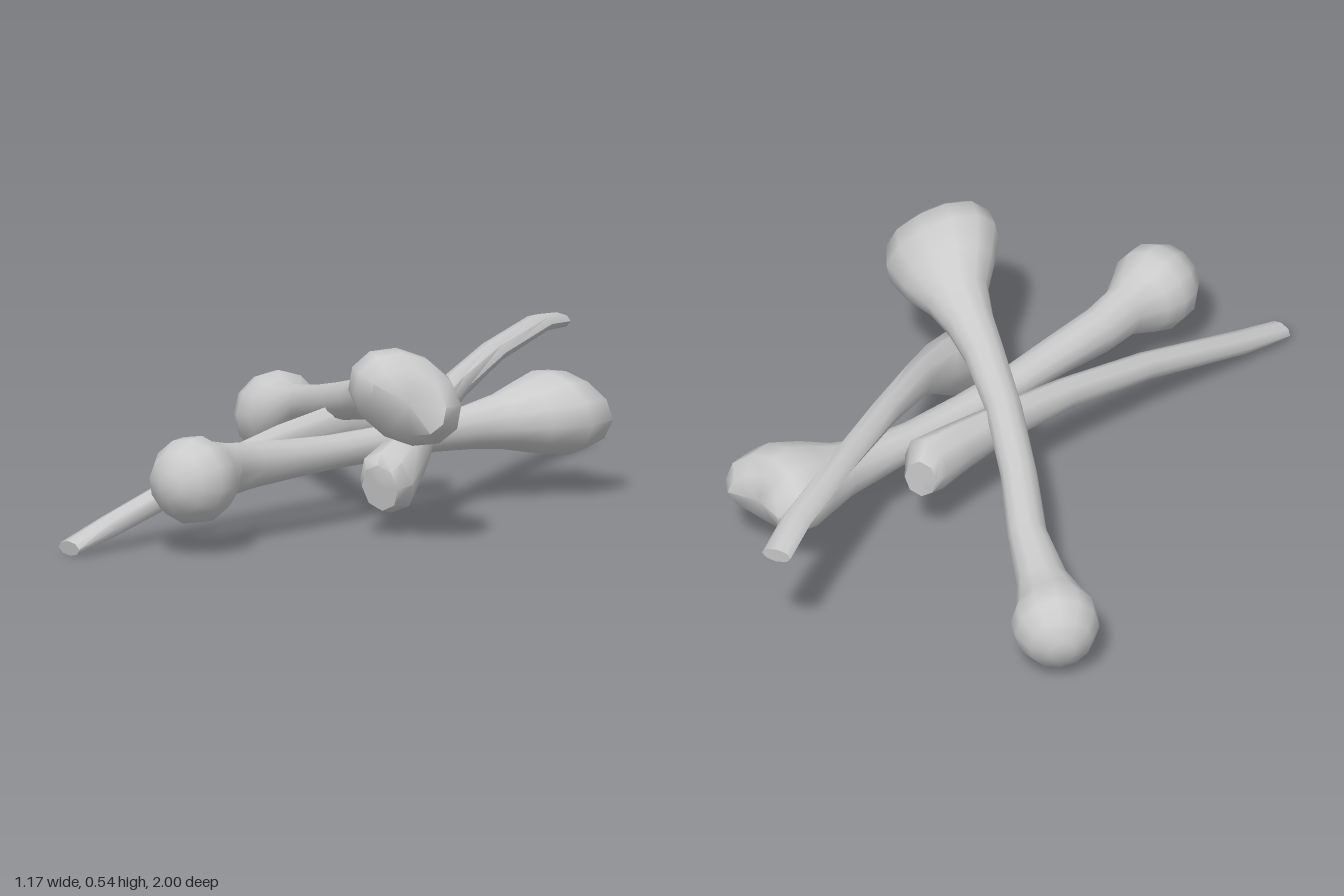
import * as THREE from 'three';
import { toCreasedNormals } from 'three/addons/utils/BufferGeometryUtils.js';

const material = new THREE.MeshStandardMaterial({ color: 0xcccccc });

// Skin elliptical rings [x, y, z, halfWidth, halfHeight, lobe] along a path.
// "side" is the width direction; "lobe" pushes the two sides of a ring forward.
function sweep(stations, side, sides, crease) {
  const centres = stations.map(s => new THREE.Vector3(s[0], s[1], s[2]));
  const last = stations.length - 1;
  const pos = [], index = [];
  stations.forEach(([, , , w, h, lobe = 0], i) => {
    const t = centres[Math.min(i + 1, last)].clone().sub(centres[Math.max(i - 1, 0)]).normalize();
    const right = side.clone().addScaledVector(t, -side.dot(t)).normalize();
    const up = t.clone().cross(right);
    for (let j = 0; j < sides; j++) {
      const a = (j / sides) * Math.PI * 2;
      const p = centres[i].clone()
        .addScaledVector(right, w * Math.cos(a))
        .addScaledVector(up, h * Math.sin(a))
        .addScaledVector(t, lobe * Math.cos(2 * a));
      pos.push(p.x, p.y, p.z);
    }
  });
  pos.push(...centres[0].toArray(), ...centres[last].toArray());
  const start = (last + 1) * sides, end = start + 1;
  for (let j = 0; j < sides; j++) {
    const k = (j + 1) % sides;
    for (let i = 0; i < last; i++) {
      const a = i * sides + j, b = i * sides + k;
      index.push(a, b, a + sides, b, b + sides, a + sides);
    }
    index.push(start, k, j, end, last * sides + j, last * sides + k);
  }
  const geo = new THREE.BufferGeometry();
  geo.setAttribute('position', new THREE.Float32BufferAttribute(pos, 3));
  geo.setIndex(index);
  return toCreasedNormals(geo, crease);
}

// Rings of the ball joint, from its outer pole towards the neck
function ball(centre, outward, r) {
  const c = new THREE.Vector3(...centre), d = new THREE.Vector3(...outward).normalize();
  return [0.3, 0.8, 1.3, 1.75, 2.2].map(a => {
    const p = c.clone().addScaledVector(d, r * Math.cos(a));
    return [p.x, p.y, p.z, r * Math.sin(a), r * Math.sin(a)];
  });
}

function addPart(group, name, stations, side, sides, crease) {
  const mesh = new THREE.Mesh(sweep(stations, new THREE.Vector3(...side), sides, crease), material);
  mesh.name = name;
  group.add(mesh);
}

export function createModel() {
  const group = new THREE.Group();
  group.name = 'bonePile';

  // Upper leg bone, lying across the pile
  addPart(group, 'upperLegBone', [
    ...ball([-0.465, 0.138, -0.66], [-0.55, -0.15, -0.8], 0.122),
    [-0.375, 0.168, -0.54, 0.072, 0.078],
    [-0.27, 0.215, -0.41, 0.054, 0.055],
    [-0.16, 0.255, -0.22, 0.05, 0.053],
    [-0.02, 0.303, -0.01, 0.05, 0.053],
    [0.11, 0.343, 0.15, 0.057, 0.056],
    [0.19, 0.367, 0.235, 0.068, 0.064],
    [0.255, 0.387, 0.3, 0.09, 0.078],
    [0.31, 0.402, 0.365, 0.135, 0.1],
    [0.36, 0.412, 0.435, 0.168, 0.12, 0.01],
    [0.395, 0.412, 0.495, 0.156, 0.12, 0.02],
    [0.418, 0.412, 0.545, 0.11, 0.085, 0.02],
  ], [0.74, -0.51, -0.45], 12, 1);

  // Lower leg bone, underneath
  addPart(group, 'lowerLegBone', [
    ...ball([-0.112, 0.205, 0.797], [-0.2, 0, 0.98], 0.123),
    [-0.08, 0.212, 0.65, 0.062, 0.075],
    [-0.055, 0.21, 0.54, 0.06, 0.066],
    [0.0, 0.208, 0.4, 0.057, 0.055],
    [0.06, 0.205, 0.23, 0.053, 0.047],
    [0.13, 0.205, 0.05, 0.052, 0.047],
    [0.205, 0.207, -0.13, 0.052, 0.05],
    [0.265, 0.21, -0.26, 0.06, 0.062],
    [0.32, 0.215, -0.35, 0.086, 0.077],
    [0.37, 0.22, -0.42, 0.13, 0.1],
    [0.415, 0.225, -0.49, 0.165, 0.116, 0.01],
    [0.44, 0.227, -0.55, 0.153, 0.11, 0.02],
    [0.455, 0.227, -0.585, 0.1, 0.07, 0.025],
  ], [0.85, -0.1, 0.48], 12, 1);

  // Rib pointing backwards, thick blunt end at the front
  addPart(group, 'backRib', [
    [0.217, 0.388, -1, 0.042, 0.022],
    [0.225, 0.404, -0.85, 0.042, 0.025],
    [0.235, 0.38, -0.5, 0.04, 0.03],
    [0.25, 0.335, -0.2, 0.04, 0.04],
    [0.265, 0.276, 0.05, 0.043, 0.055],
    [0.275, 0.207, 0.21, 0.062, 0.076],
    [0.265, 0.15, 0.33, 0.08, 0.098],
    [0.262, 0.14, 0.37, 0.055, 0.068],
  ], [1, 0, 0], 8, 0.8);

  // Rib reaching down to the ground at the front, rounded at the back
  addPart(group, 'frontRib', [
    [-0.405, 0.025, 0.98, 0.038, 0.022],
    [-0.35, 0.065, 0.83, 0.039, 0.032],
    [-0.215, 0.165, 0.5, 0.041, 0.038],
    [-0.1, 0.222, 0.22, 0.042, 0.046],
    [-0.01, 0.245, 0, 0.046, 0.058],
    [0.055, 0.243, -0.15, 0.06, 0.074],
    [0.1, 0.238, -0.255, 0.074, 0.085],
    [0.09, 0.235, -0.32, 0.045, 0.06],
  ], [0.92, 0, 0.37], 8, 1.1);

  return group;
}
